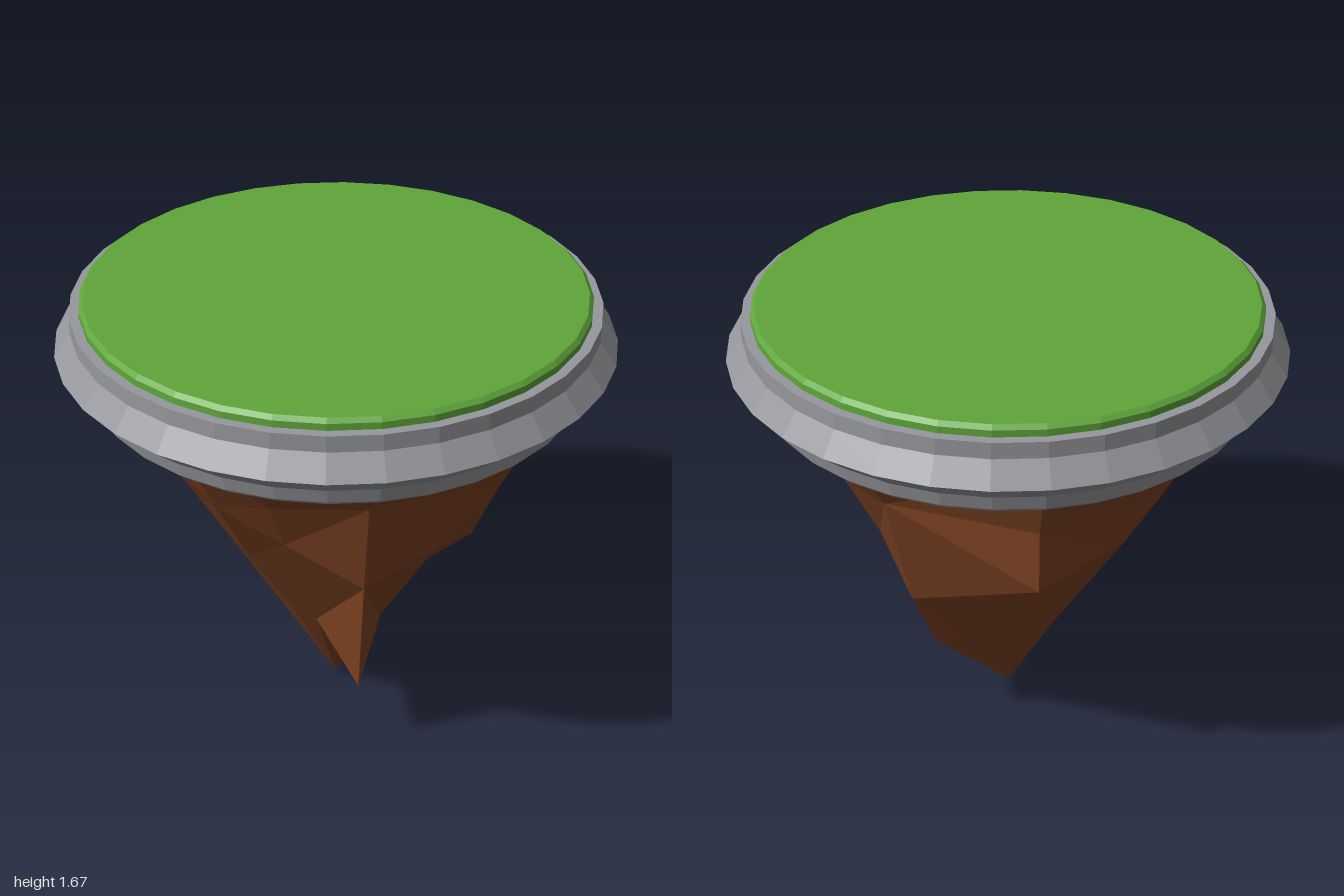
import * as THREE from 'three';

const flat = (name, color) => {
  const m = new THREE.MeshStandardMaterial({ color, flatShading: true });
  m.name = name;
  return m;
};

// Turned part with 32 flat sides, profile listed from bottom to top
function turned(name, profile, material) {
  const points = profile.map(([r, y]) => new THREE.Vector2(r, y));
  const mesh = new THREE.Mesh(new THREE.LatheGeometry(points, 32), material);
  mesh.name = name;
  return mesh;
}

// Skin closed loops of points, listed from top to bottom, down to a tip
function skin(loops, tip) {
  const out = [];
  const tri = (...corners) => corners.forEach((p) => out.push(p.x, p.y, p.z));
  for (let l = 0; l < loops.length; l++) {
    const up = loops[l], down = loops[l + 1], n = up.length;
    for (let i = 0; i < n; i++) {
      const j = (i + 1) % n;
      if (!down) {
        tri(up[i], tip, up[j]);
      } else if (up[i].distanceTo(down[j]) < up[j].distanceTo(down[i])) {
        tri(up[i], down[i], down[j]);
        tri(up[i], down[j], up[j]);
      } else {
        tri(up[i], down[i], up[j]);
        tri(up[j], down[i], down[j]);
      }
    }
  }
  const g = new THREE.BufferGeometry();
  g.setAttribute('position', new THREE.Float32BufferAttribute(out, 3));
  g.computeVertexNormals();
  return g;
}

export function createModel() {
  const group = new THREE.Group();
  group.name = 'floatingIsland';
  const grass = flat('grass green', 0x5fa63a);
  const stone = flat('stone grey', 0x97989d);
  const earth = flat('earth brown', 0x7c4222);

  // Grass disc with a small bevel
  group.add(turned('grassTop', [[0.905, 1.6], [0.905, 1.66], [0.89, 1.675], [0, 1.675]], grass));

  // Stone rim, open in the middle
  group.add(turned('stoneRim', [
    [0.77, 1.335], [0.87, 1.335], [0.885, 1.35], [0.9, 1.405], [1, 1.49],
    [0.94, 1.575], [0.94, 1.635], [0.87, 1.635],
  ], stone));

  // Rock: columns running round from the front, each with shoulder, middle and low points
  const columns = [
    [[0, 1.19, 0.69], [0, 0.8, 0.6], [0, 0.3, 0.5]],
    [[0.33, 1.17, 0.6], [0.27, 0.89, 0.52], [0.12, 0.45, 0.28]],
    [[0.5, 1.1, 0.48], [0.45, 0.79, 0.3], [0.18, 0.56, 0.21]],
    [[0.705, 1.16, 0], [0.51, 0.81, 0], [0.11, 0.32, 0]],
    [[0.62, 1.17, -0.33], [0.5, 0.92, -0.29], [0.31, 0.41, -0.27]],
    [[0.5, 1.17, -0.5], [0.4, 0.68, -0.38], [0.2, 0.4, -0.25]],
    [[0, 1.17, -0.765], [0, 0.93, -0.76], [0, 0.89, -0.53]],
    [[-0.3, 1.18, -0.66], [-0.28, 0.97, -0.59], [-0.14, 0.5, -0.28]],
    [[-0.52, 1.17, -0.48], [-0.38, 0.85, -0.36], [-0.16, 0.4, -0.18]],
    [[-0.705, 1.16, 0], [-0.52, 0.87, 0], [-0.22, 0.37, 0]],
    [[-0.5, 1.12, 0.48], [-0.37, 0.8, 0.33], [-0.2, 0.48, 0.22]],
    [[-0.33, 1.17, 0.6], [-0.27, 0.97, 0.53], [-0.12, 0.46, 0.28]],
  ].map((column) => column.map((p) => new THREE.Vector3(...p)));

  const top = columns.map(([s]) => {
    const r = 0.86 / Math.hypot(s.x, s.z);
    return new THREE.Vector3(s.x * r, 1.42, s.z * r);
  });
  // Last loop above the tip, with notches behind the front spike and the back ledge
  const under = columns.map((c) => c[2].clone().multiplyScalar(0.5));
  under[0].set(0, 0.44, 0.28);
  under[6].set(0, 0.33, -0.18);

  const loops = [top, ...[0, 1, 2].map((k) => columns.map((c) => c[k])), under];
  const rock = new THREE.Mesh(skin(loops, new THREE.Vector3(0, 0, 0)), earth);
  rock.name = 'hangingRock';
  group.add(rock);
  return group;
}
